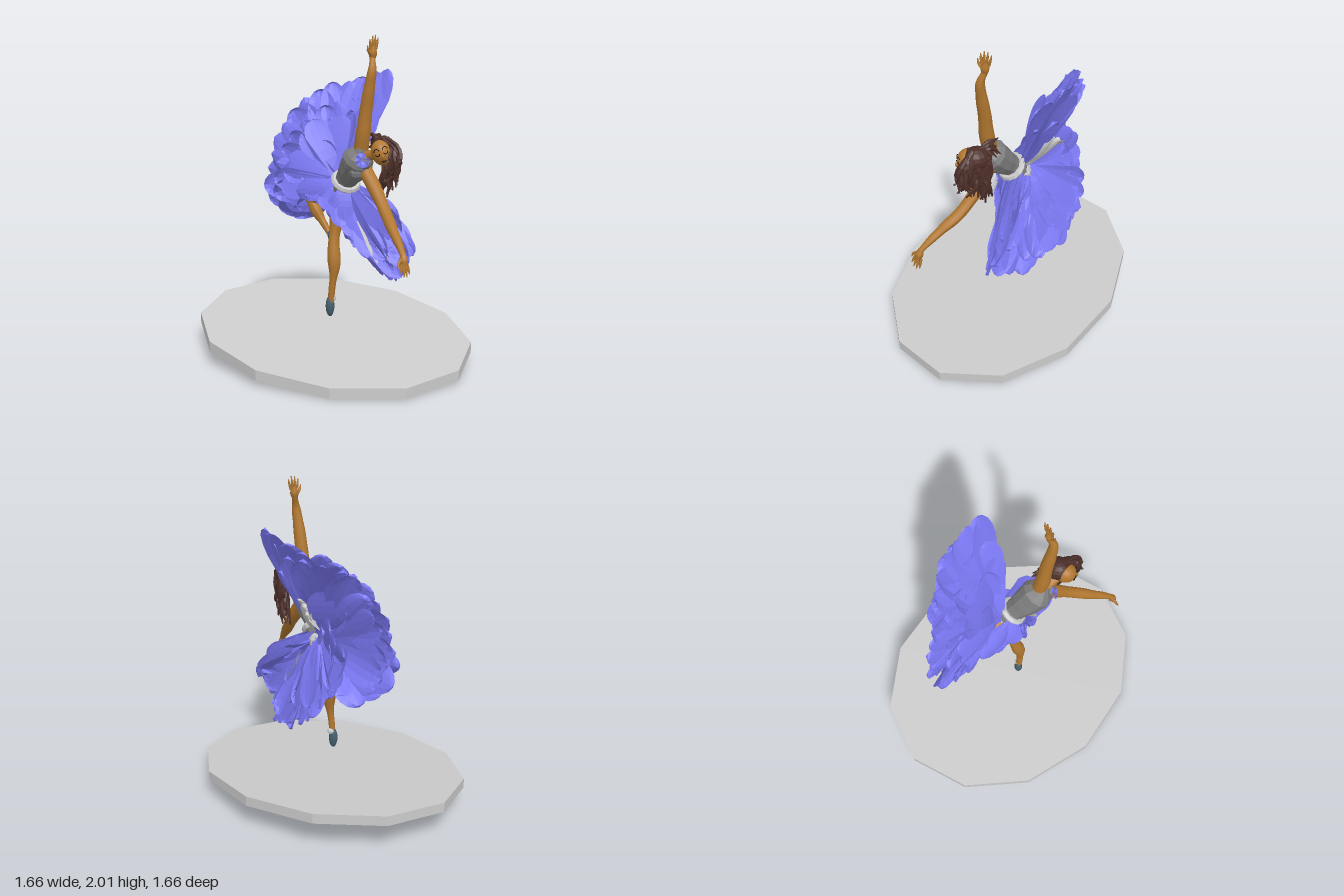
import * as THREE from 'three';

const V = (x, y, z) => new THREE.Vector3(x, y, z);
const pts = (list) => list.map((p) => V(...p));
const mat = (color, flat = false) =>
  new THREE.MeshStandardMaterial({ color, flatShading: flat, side: THREE.DoubleSide });

const GREY = mat(0xcccccc, true);
const BODICE = mat(0x7c7c7c, true);
const SKIN = mat(0xb27830);
const PURPLE = mat(0x7a77f2, true);
const HAIR = mat(0x4d2f29, true);
const SHOE = mat(0x46606e);
const DARK = mat(0x22160f);

let seed = 7;
const rnd = () => (seed = (seed * 16807) % 2147483647) / 2147483647;
const jit = (a) => (rnd() - 0.5) * 2 * a;

function add(parent, name, geometry, material) {
  const mesh = new THREE.Mesh(geometry, material);
  mesh.name = name;
  parent.add(mesh);
  return mesh;
}

// Tapered tube: radii are spread evenly along the path
function limb(parent, name, path, radii, material, seg = 16, sides = 10) {
  const curve = new THREE.CatmullRomCurve3(pts(path));
  const geo = new THREE.TubeGeometry(curve, seg, 1, sides);
  const pos = geo.attributes.position, v = V(0, 0, 0);
  for (let i = 0; i <= seg; i++) {
    const c = curve.getPointAt(i / seg);
    const f = (i / seg) * (radii.length - 1);
    const k = Math.min(Math.floor(f), radii.length - 2);
    const r = THREE.MathUtils.lerp(radii[k], radii[k + 1], THREE.MathUtils.smoothstep(f - k, 0, 1));
    for (let j = 0; j <= sides; j++) {
      const n = i * (sides + 1) + j;
      v.fromBufferAttribute(pos, n).sub(c).multiplyScalar(r).add(c);
      pos.setXYZ(n, v.x, v.y, v.z);
    }
  }
  geo.computeVertexNormals();
  return add(parent, name, geo, material);
}

function ball(parent, name, p, s, material, detail = 14) {
  const mesh = add(parent, name, new THREE.SphereGeometry(1, detail, Math.ceil(detail * 0.7)), material);
  mesh.position.set(...p);
  mesh.scale.set(...s);
  return mesh;
}

// Cupped petal with a rounded tip
function petal(parent, name, root, tip, across, half, cup, bow, material) {
  const geo = new THREE.PlaneGeometry(2, 1, 4, 9);
  const along = tip.clone().sub(root);
  const side = across.clone().addScaledVector(along, -across.dot(along) / along.lengthSq()).normalize();
  const normal = along.clone().cross(side).normalize();
  const pos = geo.attributes.position;
  for (let i = 0; i < pos.count; i++) {
    const u = pos.getX(i), t = Math.sin((pos.getY(i) + 0.5) * Math.PI / 2);
    const w = t < 0.75 ? 0.25 + t : Math.sqrt(Math.max(0, 1 - ((t - 0.75) / 0.25) ** 2));
    const p = root.clone().addScaledVector(along, t).addScaledVector(side, u * w * half)
      .addScaledVector(normal, cup * u * u * t + bow * Math.sin(Math.PI * t));
    pos.setXYZ(i, p.x, p.y, p.z);
  }
  geo.computeVertexNormals();
  return add(parent, name, geo, material);
}

// Overlapping layers of petals whose tips follow a rim curve; a layer is [count, reach, halfWidth, lift]
function fan(parent, name, rim, root, layers, material) {
  const curve = new THREE.CatmullRomCurve3(pts(rim));
  const out = V(0.7, 0, -0.7);
  for (const [count, reach, half, lift] of layers) {
    for (let i = 0; i < count; i++) {
      const t = i / (count - 1);
      const base = root.clone().add(V(jit(0.025), jit(0.03), jit(0.025)));
      const tip = root.clone().lerp(curve.getPointAt(t), reach * (1 + jit(0.03))).addScaledVector(out, lift + jit(0.025));
      const across = curve.getTangentAt(t).addScaledVector(out, jit(0.35));
      petal(parent, name, base, tip, across, half * (1 + jit(0.15)), jit(0.03), jit(0.03), material);
    }
  }
}

function hand(parent, name, wrist, dir, spread, size) {
  const g = new THREE.Group();
  g.name = name;
  parent.add(g);
  const w = V(...wrist), d = V(...dir).normalize(), s = V(...spread).normalize();
  const at = (a, b) => w.clone().addScaledVector(d, a * size).addScaledVector(s, b * size).toArray();
  limb(g, 'palm', [at(-0.1, 0), at(0.25, 0), at(0.55, 0)], [0.016, 0.026, 0.016], SKIN, 6, 8);
  for (let i = 0; i < 4; i++) {
    const b = (i - 1.5) * 0.13, len = [0.95, 1.08, 1.05, 0.9][i];
    limb(g, 'finger', [at(0.42, b), at(0.72, b * 1.3), at(len, b * 1.5)], [0.009, 0.008, 0.003], SKIN, 5, 6);
  }
  limb(g, 'thumb', [at(0.15, 0.12), at(0.38, 0.36), at(0.6, 0.42)], [0.01, 0.009, 0.003], SKIN, 5, 6);
}

export function createModel() {
  const model = new THREE.Group();
  model.name = 'dancer';

  // Tilted twelve-sided base, stretched along one diagonal
  const disc = new THREE.CylinderGeometry(1, 1, 0.064, 12);
  disc.scale(0.74, 1, 0.925);
  disc.rotateY(Math.PI / 4);
  const dp = disc.attributes.position;
  for (let i = 0; i < dp.count; i++) dp.setY(i, dp.getY(i) + 0.127 - 0.116 * dp.getZ(i));
  disc.computeVertexNormals();
  add(model, 'base', disc, GREY);

  // Standing leg, raised bent leg and shoes
  limb(model, 'standingLeg', [[0.06, 1.04, -0.03], [0.035, 0.88, -0.01], [0.008, 0.73, 0.02], [0.005, 0.56, 0.055], [-0.01, 0.42, 0.055], [-0.015, 0.33, 0.05]],
    [0.058, 0.052, 0.034, 0.042, 0.022, 0.02], SKIN, 24);
  limb(model, 'raisedThigh', [[0.04, 1.05, -0.07], [-0.04, 1.01, -0.12], [-0.115, 0.955, -0.17]], [0.058, 0.05, 0.034], SKIN);
  limb(model, 'raisedShin', [[-0.12, 0.965, -0.17], [-0.075, 0.88, -0.14], [-0.03, 0.8, -0.09], [-0.01, 0.76, -0.06]], [0.028, 0.038, 0.024, 0.018], SKIN);
  ball(model, 'shoe', [-0.02, 0.315, 0.048], [0.028, 0.068, 0.027], SHOE);
  ball(model, 'shoe', [0.005, 0.73, -0.045], [0.022, 0.052, 0.024], SHOE).rotation.z = 0.4;
  ball(model, 'anklePuff', [-0.005, 0.365, 0.045], [0.024, 0.022, 0.024], GREY, 8);

  // Bodice, hips, belt and neck
  limb(model, 'bodice', [[0.07, 1.06, -0.03], [0.09, 1.13, 0.03], [0.12, 1.21, 0.11], [0.145, 1.285, 0.17], [0.16, 1.34, 0.2]],
    [0.075, 0.07, 0.09, 0.1, 0.03], BODICE, 12, 10);
  ball(model, 'hips', [0.06, 1.04, -0.05], [0.08, 0.075, 0.08], GREY, 10);
  for (const p of [[0.12, 1.19, 0.185], [0.165, 1.26, 0.22]]) ball(model, 'bust', p, [0.05, 0.05, 0.045], BODICE, 8);
  const belt = add(model, 'belt', new THREE.TorusGeometry(0.075, 0.021, 6, 14), GREY);
  belt.position.set(0.085, 1.105, 0.01);
  belt.lookAt(0.135, 1.3, 0.17);
  limb(model, 'neck', [[0.16, 1.28, 0.19], [0.2, 1.3, 0.24], [0.24, 1.32, 0.29]], [0.04, 0.032, 0.03], SKIN);

  // Small flower on the chest
  const chest = V(0.145, 1.27, 0.252);
  for (let i = 0; i < 7; i++) {
    const a = (i / 7) * Math.PI * 2;
    petal(model, 'chestFlower', chest, chest.clone().add(V(Math.cos(a) * 0.045, Math.sin(a) * 0.045, -Math.sin(a) * 0.02)),
      V(-Math.sin(a), Math.cos(a), 0), 0.018, 0.008, 0.008, PURPLE);
  }

  // Arms and hands
  limb(model, 'raisedArm', [[0.15, 1.29, 0.16], [0.16, 1.42, 0.185], [0.175, 1.57, 0.2], [0.19, 1.7, 0.22], [0.205, 1.81, 0.23], [0.21, 1.87, 0.205]],
    [0.045, 0.046, 0.04, 0.037, 0.03, 0.018], SKIN, 24);
  hand(model, 'raisedHand', [0.21, 1.87, 0.205], [0.08, 1, -0.05], [-0.75, 0, 0.6], 0.125);
  limb(model, 'loweredArm', [[0.175, 1.2, 0.18], [0.225, 1.09, 0.27], [0.265, 0.97, 0.39], [0.285, 0.89, 0.51], [0.305, 0.82, 0.61], [0.312, 0.785, 0.65]],
    [0.045, 0.044, 0.037, 0.036, 0.027, 0.018], SKIN, 24);
  hand(model, 'loweredHand', [0.312, 0.785, 0.65], [0.06, -1, 0.38], [-0.8, 0.1, 0.5], 0.115);

  // Head with closed eyes
  const head = new THREE.Group();
  head.name = 'head';
  head.position.set(0.248, 1.325, 0.32);
  head.rotation.set(0.05, -0.15, 0.35);
  model.add(head);
  ball(head, 'face', [0, 0, 0], [0.062, 0.078, 0.07], SKIN, 18);
  ball(head, 'nose', [0, -0.012, 0.07], [0.009, 0.015, 0.012], SKIN, 8);
  ball(head, 'lips', [0, -0.04, 0.06], [0.017, 0.006, 0.006], DARK, 8);
  for (const s of [-1, 1]) {
    const lid = add(head, 'eyelid', new THREE.TorusGeometry(0.013, 0.0025, 4, 8, Math.PI), DARK);
    lid.position.set(s * 0.025, 0.012, 0.065);
    lid.rotation.set(0, s * 0.35, Math.PI);
    const brow = add(head, 'eyebrow', new THREE.TorusGeometry(0.016, 0.0025, 4, 8, Math.PI), DARK);
    brow.position.set(s * 0.025, 0.026, 0.061);
    brow.rotation.y = s * 0.35;
  }

  // Hair cap and wavy locks, longest at the back
  const hair = new THREE.Group();
  hair.name = 'hair';
  model.add(hair);
  ball(hair, 'hairCap', [0.265, 1.347, 0.28], [0.074, 0.072, 0.08], HAIR, 12);
  for (let i = 0; i < 60; i++) {
    const t = (i % 20) / 19, row = Math.floor(i / 20);
    const x = 0.335 - row * 0.016 - (1 - t) * 0.03, z = 0.205 + t * 0.17;
    const drop = 1.04 + 0.13 * t + 0.09 * rnd(), mid = (1.36 + drop) / 2;
    limb(hair, 'lock', [[0.265 + jit(0.02), 1.4 + jit(0.015), 0.25 + t * 0.07], [x, 1.35 + jit(0.02), z + jit(0.015)],
      [x + jit(0.02), mid + 0.04, z + 0.02 + jit(0.03)], [x + jit(0.025), mid - 0.04, z + 0.02 + jit(0.035)],
      [x - 0.01 + jit(0.03), drop, z + 0.02 + jit(0.04)]], [0.01, 0.013, 0.013, 0.012, 0.005], HAIR, 11, 5);
  }
  for (let i = 0; i < 9; i++) {
    limb(hair, 'backLock', [[0.25, 1.38, 0.25], [0.24 + jit(0.03), 1.395 + jit(0.03), 0.2], [0.225 + jit(0.05), 1.37 + jit(0.05), 0.14 + jit(0.02)]],
      [0.014, 0.012, 0.004], HAIR, 6, 5);
  }

  // Layered petal skirt: high back fan, low side fan, back frill and front cover
  const skirt = new THREE.Group();
  skirt.name = 'skirt';
  model.add(skirt);
  const root = V(0.06, 1.08, -0.07);
  const high = [[0.4, 1.81, -0.2], [0.27, 1.72, -0.32], [0.06, 1.68, -0.42], [-0.12, 1.61, -0.45], [-0.28, 1.39, -0.49],
    [-0.37, 1.12, -0.48], [-0.34, 0.9, -0.47], [-0.2, 0.78, -0.46], [-0.08, 0.82, -0.45]];
  fan(skirt, 'highPetal', high, root, [[17, 0.99, 0.095, 0], [16, 0.92, 0.09, 0.02], [15, 0.8, 0.085, -0.04],
    [13, 0.66, 0.08, -0.07], [12, 0.6, 0.075, 0.02], [10, 0.45, 0.06, -0.04]], PURPLE);
  const low = [[0.01, 0.84, -0.48], [0.1, 0.72, -0.43], [0.19, 0.61, -0.35], [0.27, 0.53, -0.23], [0.33, 0.49, -0.08],
    [0.36, 0.48, 0.08], [0.39, 0.5, 0.25], [0.45, 0.62, 0.26], [0.45, 0.74, 0.19], [0.36, 0.88, 0.12]];
  fan(skirt, 'lowPetal', low, root, [[18, 1, 0.08, 0], [16, 0.9, 0.08, 0.02], [14, 0.76, 0.075, -0.02],
    [12, 0.6, 0.065, 0.02], [10, 0.45, 0.055, 0]], PURPLE);
  const frill = [[0, 1.24, -0.4], [-0.05, 1.1, -0.46], [-0.05, 0.97, -0.49], [0, 0.85, -0.48]];
  fan(skirt, 'frillPetal', frill, root, [[6, 1, 0.08, 0.01], [6, 0.75, 0.075, 0.02]], PURPLE);
  const front = [[-0.2, 1.02, -0.19], [-0.1, 0.98, -0.02], [-0.02, 0.9, 0.07], [0.07, 0.8, 0.1], [0.18, 0.69, 0.13], [0.3, 0.59, 0.2], [0.42, 0.66, 0.25]];
  fan(skirt, 'frontPetal', front, V(0.075, 1.09, 0.01), [[12, 1, 0.065, 0], [9, 0.75, 0.06, 0]], PURPLE);
  // Grey underskirt
  fan(skirt, 'underskirt', [[0.2, 1.34, -0.2], [0.15, 1.3, -0.25], [0.11, 1.25, -0.28]], root, [[4, 1, 0.05, 0.01]], GREY);
  fan(skirt, 'underskirt', [[0.3, 0.6, 0.16], [0.25, 0.75, 0.08], [0.2, 0.85, 0.04]], root, [[4, 1, 0.05, 0.01]], GREY);

  return model;
}
